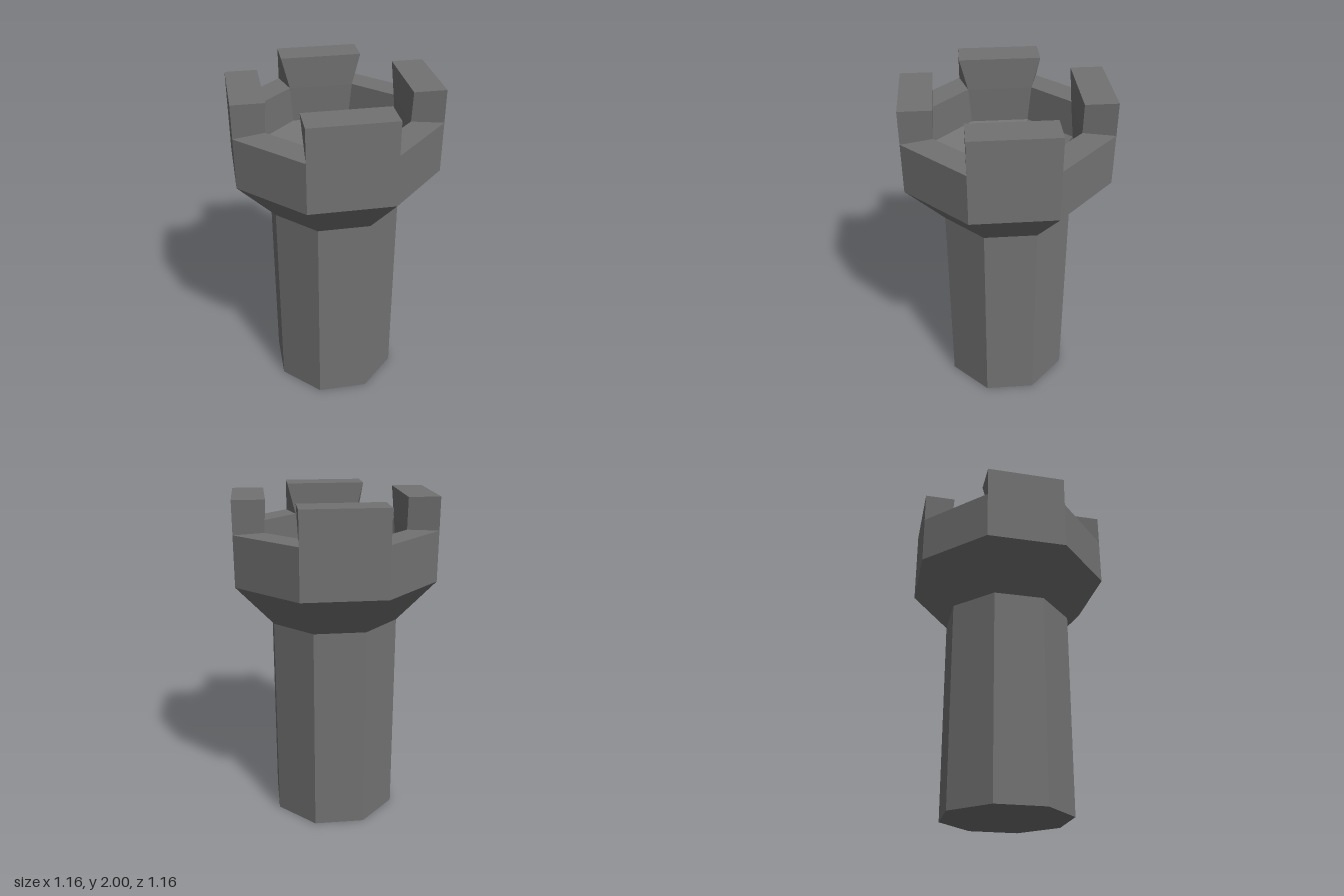
import * as THREE from 'three';

const material = new THREE.MeshStandardMaterial({ color: 0x727272 });
const TAN = Math.tan(Math.PI / 8);
const UP = new THREE.Vector3(0, 1, 0);

// Eight-cornered ring: a = distance to the four main sides, h = half their length
function ring(a, y, h = a * TAN) {
  const points = [];
  for (let k = 0; k < 4; k++) {
    for (const x of [-h, h]) {
      points.push(new THREE.Vector3(x, y, a).applyAxisAngle(UP, k * Math.PI / 2));
    }
  }
  return points;
}

// Faceted mesh from quads, corners counter-clockwise seen from outside, one normal per quad
function quadMesh(name, quads) {
  const positions = [], normals = [];
  for (const [a, b, c, d] of quads) {
    const normal = c.clone().sub(a).cross(d.clone().sub(b)).normalize();
    for (const p of [a, b, c, a, c, d]) {
      positions.push(...p.toArray());
      normals.push(...normal.toArray());
    }
  }
  const geometry = new THREE.BufferGeometry();
  geometry.setAttribute('position', new THREE.Float32BufferAttribute(positions, 3));
  geometry.setAttribute('normal', new THREE.Float32BufferAttribute(normals, 3));
  const mesh = new THREE.Mesh(geometry, material);
  mesh.name = name;
  return mesh;
}

// Joins successive rings with bands of quads
function bands(name, ...rings) {
  const quads = [];
  for (let r = 0; r + 1 < rings.length; r++) {
    const low = rings[r], high = rings[r + 1];
    for (let i = 0; i < 8; i++) {
      const j = (i + 1) % 8;
      quads.push([low[i], low[j], high[j], high[i]]);
    }
  }
  return quadMesh(name, quads);
}

// Octagonal disc facing up (1) or down (-1)
function disc(name, apothem, y, facing) {
  const geometry = new THREE.CircleGeometry(apothem / Math.cos(Math.PI / 8), 8, Math.PI / 8);
  geometry.rotateX(-facing * Math.PI / 2);
  const mesh = new THREE.Mesh(geometry, material);
  mesh.position.y = y;
  mesh.name = name;
  return mesh;
}

export function createModel() {
  const group = new THREE.Group();
  group.name = 'tower';

  const base = ring(0.365, 0), neck = ring(0.365, 1.263);
  const shoulder = ring(0.579, 1.514), rim = ring(0.579, 1.81);
  // The inner wall leans inward on the main sides and stays upright on the diagonals
  const innerRim = ring(0.403, 1.81, 0.192);
  const wellTop = ring(0.421, 1.587);
  const wellBottom = ring(0.235, 1.37);

  group.add(
    disc('baseUnderside', 0.365, 0, -1),
    bands('shaft', base, neck),
    bands('flare', neck, shoulder),
    bands('parapet', shoulder, rim, innerRim, wellTop),
    bands('well', wellTop, wellBottom),
    disc('platformFloor', 0.235, 1.37, 1)
  );

  // Four battlements on the main sides, narrowing towards the foot of their inner face
  const outerTop = ring(0.579, 2), innerTop = ring(0.395, 2, 0.579 * TAN);
  const section = [rim, outerTop, innerTop, innerRim];
  for (let k = 0; k < 4; k++) {
    const left = section.map((s) => s[2 * k]);
    const right = section.map((s) => s[2 * k + 1]);
    const quads = [left, right.slice().reverse()];
    for (let i = 0; i < 3; i++) {
      quads.push([left[i], right[i], right[i + 1], left[i + 1]]);
    }
    group.add(quadMesh('battlement' + (k + 1), quads));
  }
  return group;
}
